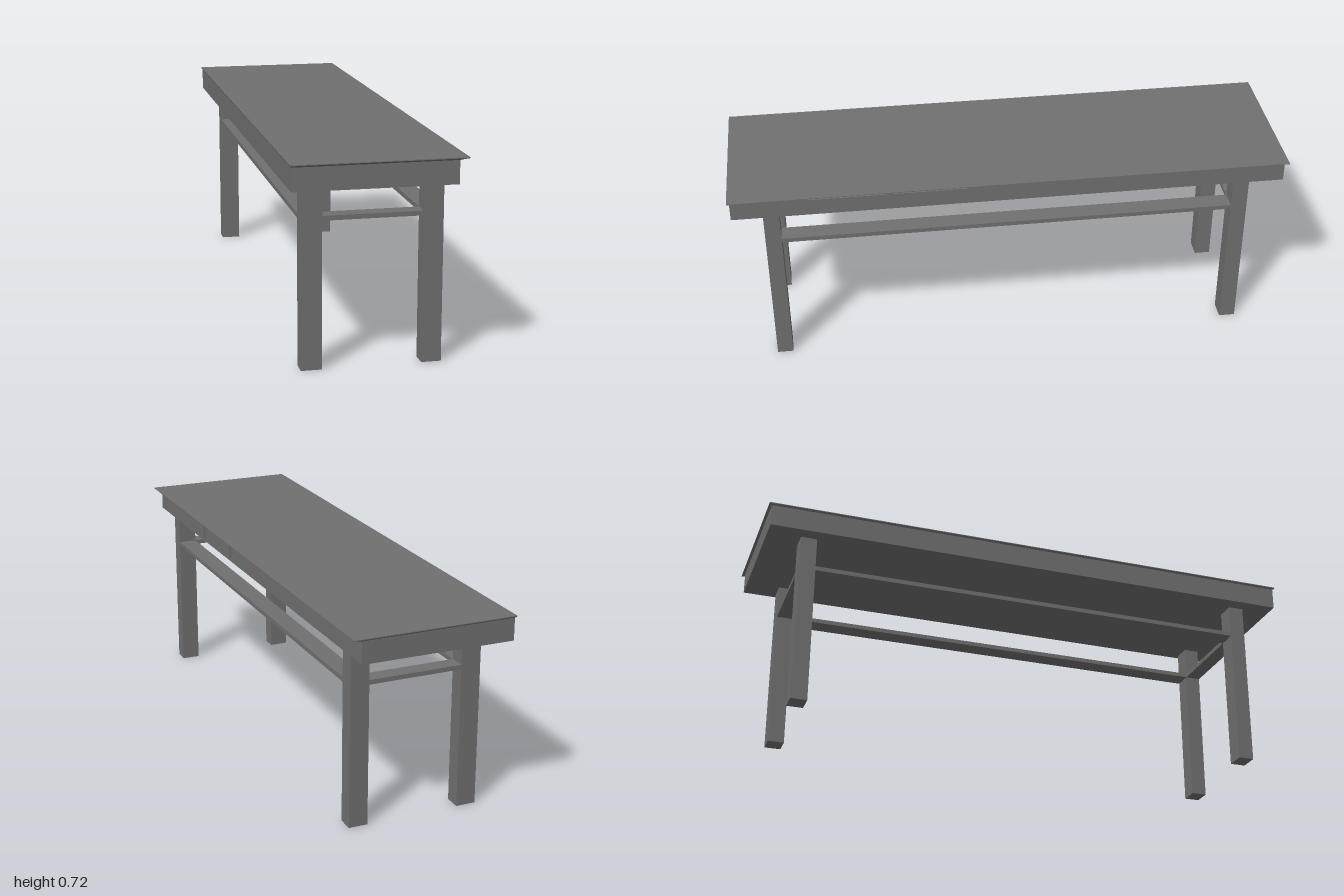
import * as THREE from 'three';

const material = new THREE.MeshStandardMaterial({ color: 0x707070, flatShading: true });

// Box given by its min and max on each axis
function box(name, [x0, x1], [y0, y1], [z0, z1]) {
  const mesh = new THREE.Mesh(new THREE.BoxGeometry(x1 - x0, y1 - y0, z1 - z0), material);
  mesh.position.set((x0 + x1) / 2, (y0 + y1) / 2, (z0 + z1) / 2);
  mesh.name = name;
  return mesh;
}

// Moves the vertices of a box by a rule, then refreshes its normals
function reshape(mesh, rule) {
  const p = mesh.geometry.attributes.position;
  const v = new THREE.Vector3();
  for (let i = 0; i < p.count; i++) {
    rule(v.fromBufferAttribute(p, i));
    p.setXYZ(i, v.x, v.y, v.z);
  }
  mesh.geometry.computeVertexNormals();
  return mesh;
}

export function createModel() {
  const group = new THREE.Group();
  group.name = 'table';

  const apronX = [-0.286, 0.259];
  const apronZ = [-0.99, 0.991];
  const topX = [-0.29, 0.29];
  const topZ = [-0.9985, 0.9985];

  // Thin top: a narrow lip over a slab that slopes in to the apron
  group.add(box('tableTop', topX, [0.714, 0.717], topZ));
  group.add(reshape(box('topUnderside', topX, [0.708, 0.714], topZ), (v) => {
    if (v.y < 0) {
      v.x = apronX[v.x < 0 ? 0 : 1];
      v.z = apronZ[v.z < 0 ? 0 : 1];
    }
  }));

  // Closed apron under the top
  group.add(box('apron', apronX, [0.629, 0.708], apronZ));

  // Two drawer fronts on the long side, bevelled along top and bottom
  [[0.442, 0.72], [0.158, 0.418]].forEach((z, i) => {
    const front = box(`drawerFront${i + 1}`, [0.256, 0.27], [0.645, 0.702], z);
    group.add(reshape(front, (v) => {
      if (v.x > 0) v.y *= 0.84;
    }));
  });

  // Legs at the four corners
  const xs = { right: [-0.234, -0.163], left: [0.174, 0.242] };
  const zs = { back: [-0.87, -0.811], front: [0.824, 0.881] };
  for (const [side, x] of Object.entries(xs)) {
    for (const [end, z] of Object.entries(zs)) {
      group.add(box(`${end}_${side}_leg`, x, [0, 0.629], z));
    }
  }

  // Flat stretchers as wide as the legs, joining them in a ring
  const y = [0.504, 0.52];
  for (const [side, x] of Object.entries(xs)) {
    group.add(box(`${side}_stretcher`, x, y, [zs.back[1], zs.front[0]]));
  }
  for (const [end, z] of Object.entries(zs)) {
    group.add(box(`${end}_stretcher`, [xs.right[1], xs.left[0]], y, z));
  }

  // The table stands very slightly turned
  group.rotation.y = -0.006;
  return group;
}
